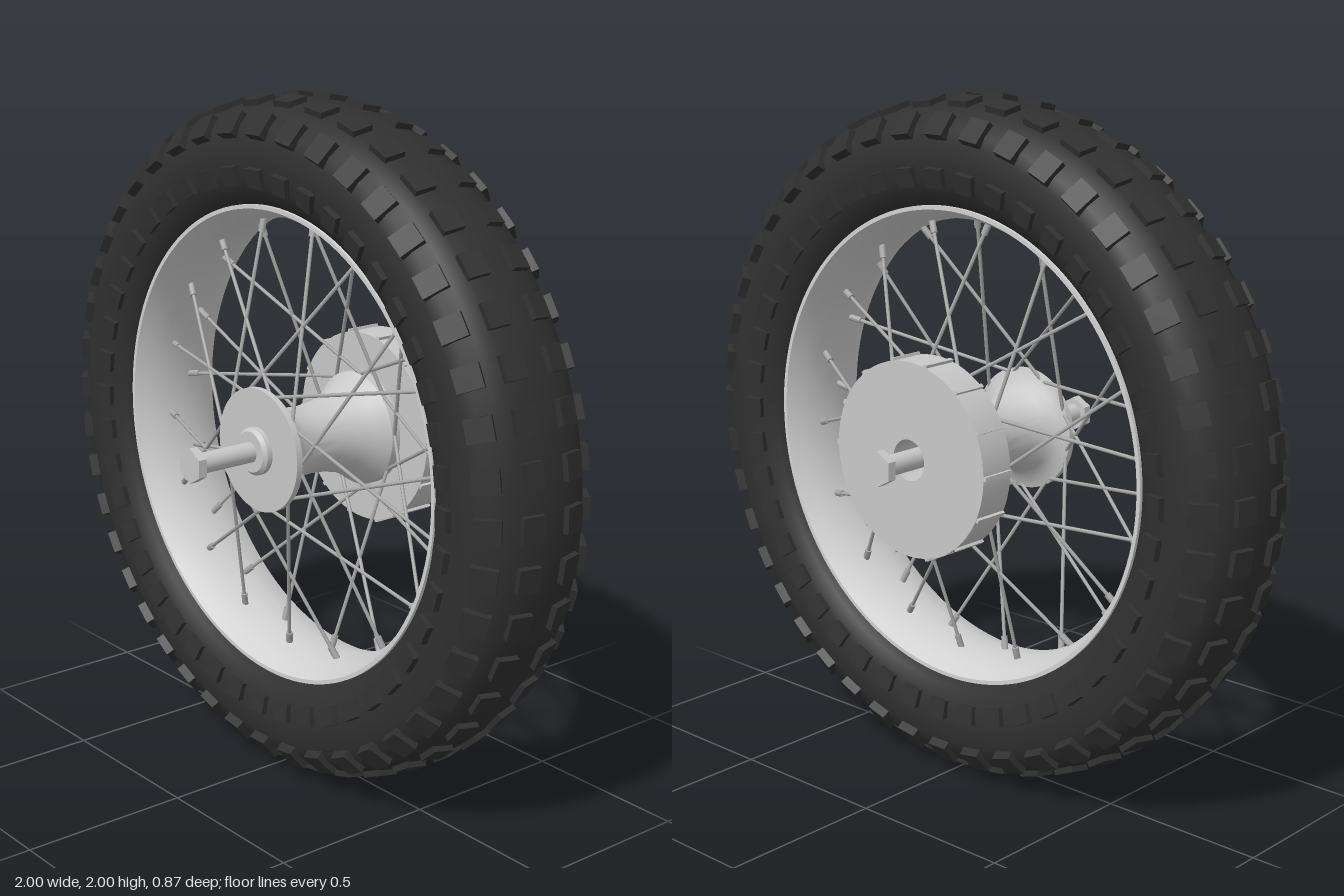
import * as THREE from 'three';
import { mergeGeometries, toCreasedNormals } from 'three/addons/utils/BufferGeometryUtils.js';

const mat = (name, color, side = THREE.FrontSide) => {
  const m = new THREE.MeshStandardMaterial({ color, side });
  m.name = name;
  return m;
};

// Revolve [radius, z] points around the z axis, keeping hard corners sharp
function revolve(points, segments = 96, crease = 0.6) {
  const g = new THREE.LatheGeometry(points.map(([r, z]) => new THREE.Vector2(r, z)), segments);
  return toCreasedNormals(g.rotateX(Math.PI / 2), crease);
}

// Cylinder along z between two depths
function rod(radius, z0, z1, sides) {
  return new THREE.CylinderGeometry(radius, radius, z1 - z0, sides)
    .rotateX(Math.PI / 2).translate(0, 0, (z0 + z1) / 2);
}

// Cylinder between two points
function strut(a, b, radius, sides) {
  const dir = b.clone().sub(a);
  const g = new THREE.CylinderGeometry(radius, radius, dir.length(), sides);
  g.applyQuaternion(new THREE.Quaternion().setFromUnitVectors(new THREE.Vector3(0, 1, 0), dir.normalize()));
  const mid = a.clone().add(b).multiplyScalar(0.5);
  return g.translate(mid.x, mid.y, mid.z);
}

const polar = (r, angle, z) => new THREE.Vector3(r * Math.cos(angle), r * Math.sin(angle), z);

export function createModel() {
  const rubber = mat('black rubber', 0x303030);
  const rimMetal = mat('rim metal', 0xd2d2d2);
  const hubMetal = mat('hub metal', 0xc8c8c8);
  const spokeMetal = mat('spoke steel', 0xa8a8a8);

  const model = new THREE.Group();
  model.name = 'wheel';
  const wheel = new THREE.Group();
  wheel.name = 'wheelAssembly';
  wheel.position.y = 1;
  model.add(wheel);
  const add = (name, geometry, material) => {
    const mesh = new THREE.Mesh(geometry, material);
    mesh.name = name;
    wheel.add(mesh);
  };

  // Tyre carcass: half section mirrored about z = 0
  const half = [[0.692, 0.13], [0.72, 0.163], [0.77, 0.187], [0.83, 0.195], [0.88, 0.19],
    [0.92, 0.174], [0.955, 0.14], [0.975, 0.095], [0.985, 0.045]];
  const section = [...half.map(([r, z]) => [r, -z]), [0.987, 0], ...half.slice().reverse()];
  section.push(section[0]);
  add('tyre', revolve(section, 128, 0.9), rubber);

  // Tread blocks: centre, shoulder and sidewall rows on both sides
  const rows = [
    { r: 0.98, z: 0.072, tilt: 0.2, w: 0.072, len: 0.065 },
    { r: 0.924, z: 0.172, tilt: 0.9, w: 0.066, len: 0.075 },
    { r: 0.785, z: 0.19, tilt: 1.78, w: 0.06, len: 0.055 },
  ];
  const count = 44;
  const blocks = [];
  for (const row of rows) {
    for (const s of [1, -1]) {
      for (let i = 0; i < count; i++) {
        blocks.push(new THREE.BoxGeometry(row.w, 0.03, row.len)
          .rotateX(s * row.tilt)
          .translate(0, row.r, s * row.z)
          .rotateZ((i / count) * Math.PI * 2));
      }
    }
  }
  add('treadBlocks', mergeGeometries(blocks), rubber);

  // Rim, bulging towards the axle
  add('rim', revolve([[0.7, 0.15], [0.688, 0.15], [0.668, 0.11], [0.654, 0.06], [0.648, 0],
    [0.654, -0.06], [0.668, -0.11], [0.688, -0.15], [0.7, -0.15], [0.7, 0.15]], 128), rimMetal);

  // Hub spool with a flange at each end
  add('hub', revolve([[0.001, -0.205], [0.17, -0.205], [0.17, -0.17], [0.145, -0.135], [0.12, -0.09],
    [0.105, -0.03], [0.1, 0.03], [0.105, 0.09], [0.125, 0.14], [0.15, 0.165], [0.182, 0.175],
    [0.182, 0.195], [0.001, 0.195]], 64), hubMetal);
  add('hubCollar', revolve([[0.03, 0.19], [0.07, 0.19], [0.07, 0.212], [0.06, 0.222], [0.03, 0.222]], 32), hubMetal);

  // Brake drum with a bore and ribs around its rim
  add('brakeDrum', revolve([[0.06, -0.31], [0.285, -0.31], [0.285, -0.2], [0.06, -0.2], [0.06, -0.31]], 64), hubMetal);
  const ribs = [];
  for (let i = 0; i < 14; i++) {
    ribs.push(new THREE.BoxGeometry(0.02, 0.012, 0.108)
      .translate(0.283, 0, -0.255).rotateZ((i / 14) * Math.PI * 2));
  }
  add('drumRibs', mergeGeometries(ribs), hubMetal);

  // Axle with hexagonal ends
  add('axle', rod(0.03, -0.42, 0.42, 24), hubMetal);
  for (const s of [1, -1]) {
    const nut = rod(0.052, 0.408, 0.435, 6);
    if (s < 0) nut.rotateY(Math.PI);
    add(s > 0 ? 'frontNut' : 'rearNut', toCreasedNormals(nut, 0.5), hubMetal);
  }

  // Crossed spokes, alternating between flanges and lacing directions
  const spokes = [];
  const nipples = [];
  for (let i = 0; i < 36; i++) {
    const side = i % 2 ? -1 : 1;
    const lean = (i >> 1) % 2 ? 1 : -1;
    const angle = ((i + 0.5) / 36) * Math.PI * 2;
    const inner = polar(0.16, angle + lean * 1.0, side * 0.185);
    const outer = polar(0.655, angle, side * 0.035);
    const neck = outer.clone().lerp(inner, 0.07);
    spokes.push(strut(inner, outer, 0.0055, 8));
    nipples.push(strut(neck, outer, 0.01, 8));
  }
  add('spokes', mergeGeometries(spokes), spokeMetal);
  add('spokeNipples', mergeGeometries(nipples), spokeMetal);

  return model;
}
